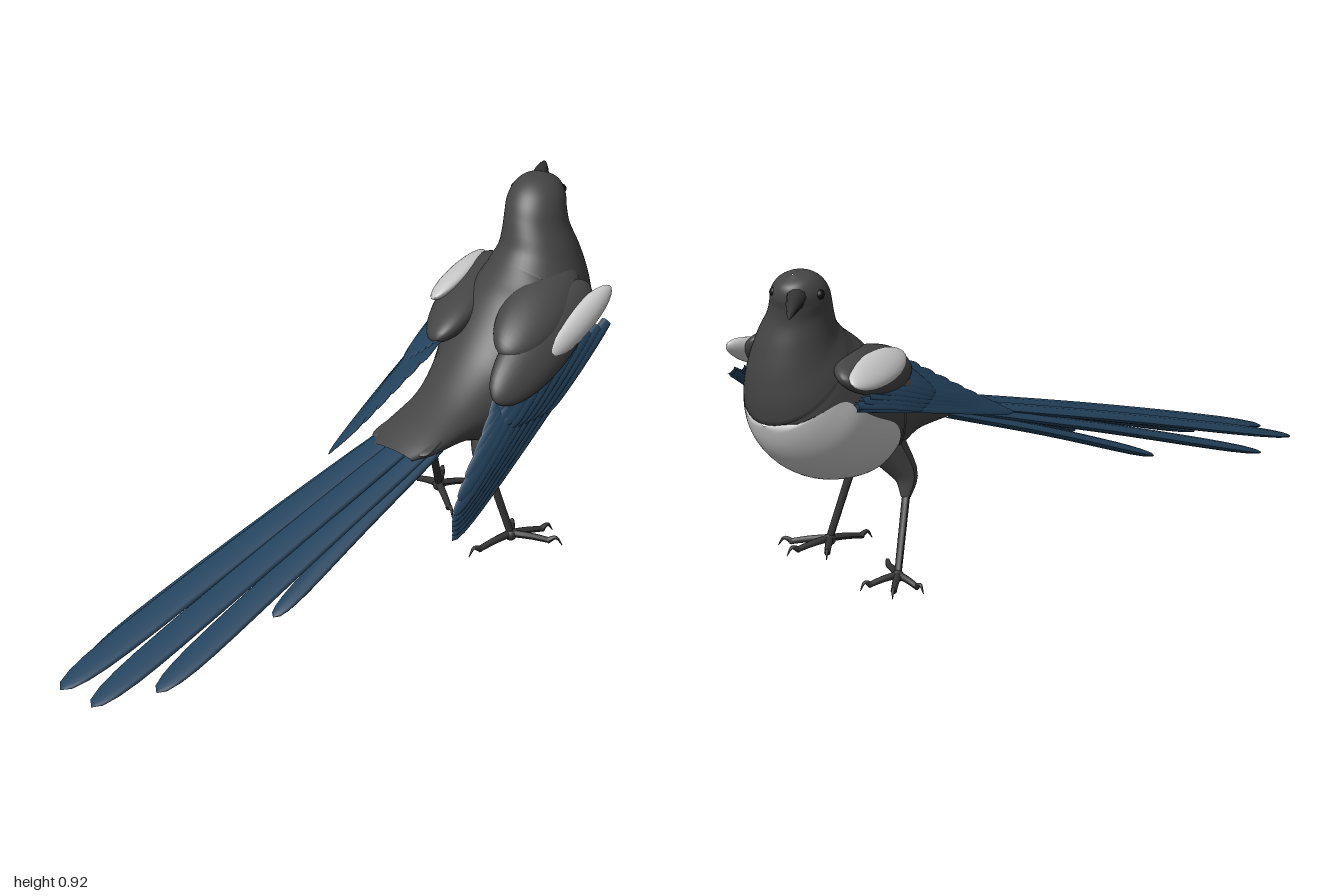
import * as THREE from 'three';

const V = (a) => new THREE.Vector3(...a);
const paint = (color) => new THREE.MeshStandardMaterial({ color });
const dark = paint(0x454545), white = paint(0xf0f2f2), blue = paint(0x24435e), horn = paint(0x343434), black = paint(0x101010);

// Surface grid; fn(u, v) returns a point, outside is du x dv
function grid(fn, nu, nv) {
  const pos = [], idx = [];
  for (let i = 0; i <= nu; i++) for (let j = 0; j <= nv; j++) {
    pos.push(...fn(i / nu, j / nv).toArray());
    if (i < nu && j < nv) {
      const a = i * (nv + 1) + j, b = a + nv + 1;
      idx.push(a, b, a + 1, b, b + 1, a + 1);
    }
  }
  const g = new THREE.BufferGeometry();
  g.setAttribute('position', new THREE.Float32BufferAttribute(pos, 3));
  g.setIndex(idx);
  g.computeVertexNormals();
  return g;
}

// Elliptical sweep along a curve; size(t) gives half width and half thickness
function sweep(points, size, up = [0, 1, 0], nu = 12, nv = 10) {
  const curve = new THREE.CatmullRomCurve3(points.map(V));
  return grid((u, v) => {
    const t = 1 - (1 - u) ** 1.6, T = curve.getTangent(t);
    const side = T.clone().cross(V(up)).normalize(), n = side.clone().cross(T);
    const [w, h] = size(t), a = v * Math.PI * 2;
    return curve.getPoint(t).addScaledVector(side, w * Math.cos(a)).addScaledVector(n, h * Math.sin(a));
  }, nu, nv);
}

const feather = (root, tip, w, up, h = 0.006) => {
  const mid = V(root).lerp(V(tip), 0.5).addScaledVector(V(up), 0.006).toArray();
  return sweep([root, mid, tip], (t) => {
    const end = Math.sqrt(Math.max(0, 1 - t ** 12));
    return [w * (0.6 + 0.4 * Math.sqrt(t)) * end, h * end];
  }, up);
};

const limb = (points, r0, r1, up) => sweep(points, (t) => {
  const r = r0 + (r1 - r0) * t;
  return [r, r];
}, up, 10, 8);

// Ellipsoid with a long axis a, a cross axis b and a thickness
function lobe(center, a, b, thick) {
  const n = V(b).cross(V(a)).normalize();
  return grid((u, v) => {
    const p = u * Math.PI, q = v * Math.PI * 2;
    return V(center).addScaledVector(V(a), -Math.cos(p))
      .addScaledVector(V(b), Math.sin(p) * Math.cos(q))
      .addScaledVector(n, thick * Math.sin(p) * Math.sin(q));
  }, 20, 28);
}

// Body sections: back z, back y, belly z, belly y, centre x, half width
const BODY = [
  [-0.14, 0.385, -0.16, 0.35, 0.05, 0.07], [-0.22, 0.42, -0.22, 0.345, 0.05, 0.1],
  [-0.35, 0.475, -0.36, 0.33, 0.05, 0.11], [-0.45, 0.54, -0.47, 0.29, 0.04, 0.135],
  [-0.53, 0.62, -0.57, 0.265, 0.03, 0.165], [-0.58, 0.67, -0.7, 0.285, 0.025, 0.18],
  [-0.62, 0.7, -0.81, 0.34, 0.02, 0.18], [-0.645, 0.72, -0.885, 0.42, 0.02, 0.168],
  [-0.665, 0.74, -0.922, 0.52, 0.015, 0.147], [-0.685, 0.765, -0.928, 0.62, 0.01, 0.122],
  [-0.7, 0.8, -0.915, 0.71, 0, 0.103], [-0.715, 0.835, -0.897, 0.78, -0.013, 0.087],
  [-0.735, 0.872, -0.897, 0.825, -0.023, 0.081], [-0.765, 0.903, -0.905, 0.86, -0.03, 0.07],
  [-0.805, 0.921, -0.897, 0.895, -0.035, 0.045], [-0.855, 0.922, -0.86, 0.92, -0.038, 0.002],
];
const N = BODY.length - 1;
const backLine = new THREE.CatmullRomCurve3(BODY.map((s) => V([0, s[1], s[0]])), false, 'catmullrom');
const bellyLine = new THREE.CatmullRomCurve3(BODY.map((s) => V([0, s[3], s[2]])), false, 'catmullrom');
const widthLine = new THREE.CatmullRomCurve3(BODY.map((s) => V([s[4], s[5], 0])), false, 'catmullrom');

function bodyPoint(t, angle) {
  const top = backLine.getPoint(t), low = bellyLine.getPoint(t), w = widthLine.getPoint(t);
  const c = top.clone().add(low).multiplyScalar(0.5);
  const p = c.clone().addScaledVector(low.sub(c), Math.cos(angle));
  p.x = w.x + w.y * Math.sin(angle);
  return p;
}
// Half angle of the white belly at body parameter t
const bellyAngle = (t) => 1.6 * Math.sqrt(Math.max(0, 1 - ((t * N - 5.45) / 2.25) ** 6));

// Wings: the left is lowered, the right is folded over the back
const WINGS = [
  { name: 'leftWing', up: [0.87, 0.4, 0.29],
    roots: [[0.222, 0.57, -0.82], [0.195, 0.55, -0.65], [0.145, 0.53, -0.5]],
    tips: [[0.222, 0.14, -0.2], [0.215, 0.21, -0.21], [0.18, 0.41, -0.4]],
    shoulders: [
      [[0.178, 0.57, -0.61], [0.012, -0.1, 0.2], [0.055, -0.06, -0.03], 0.05],
      [[0.125, 0.635, -0.65], [0.02, -0.06, 0.17], [0.085, -0.04, 0], 0.055]],
    patch: [[0.217, 0.602, -0.71], [0.006, -0.057, 0.142], [0.016, -0.034, -0.015], 0.028] },
  { name: 'rightWing', up: [-0.53, 0.78, 0.33],
    roots: [[-0.222, 0.57, -0.81], [-0.15, 0.575, -0.64], [-0.05, 0.56, -0.52]],
    tips: [[-0.1, 0.345, -0.06], [-0.075, 0.38, -0.13], [-0.025, 0.52, -0.36]],
    shoulders: [[[-0.11, 0.607, -0.62], [0.07, -0.035, 0.19], [-0.075, -0.04, 0.015], 0.05]],
    patch: [[-0.172, 0.635, -0.665], [0.045, 0, 0.145], [-0.042, -0.03, 0.01], 0.025] },
];

// Legs: hip, knee, ankle joint at the foot, then toe ends (the last is the hind toe)
const LEGS = [
  { name: 'leftLeg', path: [[0.09, 0.34, -0.5], [0.115, 0.26, -0.455], [0.13, 0.205, -0.46]], foot: [0.165, 0.03, -0.5],
    toes: [[0.28, -0.58], [0.2, -0.63], [0.1, -0.58], [0.14, -0.36]] },
  { name: 'rightLeg', path: [[-0.05, 0.34, -0.5], [-0.085, 0.26, -0.465], [-0.1, 0.205, -0.48]], foot: [-0.175, 0.03, -0.59],
    toes: [[-0.28, -0.6], [-0.25, -0.69], [-0.14, -0.7], [-0.045, -0.5]] },
];

// Tail feathers: root, tip, half width
const TAIL = [
  [[0.06, 0.398, -0.25], [-0.01, 0.016, 1], 0.054], [[0, 0.393, -0.25], [-0.135, 0.02, 0.985], 0.056],
  [[0.105, 0.385, -0.25], [0.075, 0.024, 0.83], 0.05], [[-0.02, 0.383, -0.25], [-0.185, 0.026, 0.82], 0.044],
  [[0.125, 0.37, -0.25], [0.13, 0.115, 0.42], 0.034], [[-0.025, 0.37, -0.25], [-0.175, 0.118, 0.41], 0.038],
];

export function createModel() {
  const model = new THREE.Group();
  const add = (parent, name, geometry, material) => {
    const m = new THREE.Mesh(geometry, material);
    m.name = name;
    parent.add(m);
    return m;
  };
  const group = (name) => {
    const g = new THREE.Group();
    g.name = name;
    model.add(g);
    return g;
  };

  // Body and head, split into dark hood and white belly
  add(model, 'darkPlumage', grid((u, v) => {
    const a = bellyAngle(u);
    return bodyPoint(u, a + v * (Math.PI * 2 - 2 * a));
  }, 120, 48), dark);
  const t0 = 3.2 / N, t1 = 7.7 / N;
  add(model, 'whiteBelly', grid((u, v) => {
    const t = t0 + (t1 - t0) * u;
    return bodyPoint(t, bellyAngle(t) * (2 * v - 1));
  }, 48, 32), white);

  // Beak and eyes
  const beak = group('beak');
  add(beak, 'upperBeak', sweep([[-0.055, 0.87, -0.855], [-0.108, 0.869, -0.93], [-0.157, 0.856, -0.997]],
    (t) => [0.03 * (1 - t) ** 0.7 + 0.001, 0.026 * (1 - t) ** 0.6 + 0.001]), horn);
  add(beak, 'lowerBeak', sweep([[-0.055, 0.851, -0.86], [-0.1, 0.853, -0.92], [-0.15, 0.853, -0.988]],
    (t) => [0.026 * (1 - t) ** 0.8 + 0.001, 0.02 * (1 - t) ** 0.8 + 0.001]), horn);
  for (const p of [[0.002, 0.87, -0.887], [-0.098, 0.868, -0.815]]) {
    add(model, 'eye', new THREE.SphereGeometry(0.014, 16, 12), black).position.set(...p);
  }

  // Wings
  for (const w of WINGS) {
    const g = group(w.name), up = V(w.up);
    const roots = new THREE.CatmullRomCurve3(w.roots.map(V)), tips = new THREE.CatmullRomCurve3(w.tips.map(V));
    const count = 11;
    for (let i = 0; i < count; i++) {
      const s = i / (count - 1), root = roots.getPoint(s), tip = tips.getPoint(s);
      root.addScaledVector(up, 0.012 * s);
      tip.addScaledVector(up, 0.015 * s);
      add(g, 'flightFeather', feather(root.toArray(), tip.toArray(), 0.022, w.up, 0.006), blue);
      const lift = up.clone().multiplyScalar(0.01);
      add(g, 'covertFeather', feather(root.clone().add(lift).toArray(),
        root.clone().lerp(tip, 0.42 + 0.12 * s).add(lift).toArray(), 0.022, w.up, 0.006), blue);
    }
    for (const s of w.shoulders) add(g, 'shoulder', lobe(...s), dark);
    add(g, 'whitePatch', lobe(...w.patch), white);
    // Pointed dark feathers at the rear of the shoulder
    for (let i = 0; i < 4; i++) {
      const s = 0.55 + i * 0.15, root = roots.getPoint(s).addScaledVector(up, 0.02);
      const tip = root.clone().lerp(tips.getPoint(s), 0.34);
      add(g, 'shoulderFeather', feather(root.toArray(), tip.toArray(), 0.028, w.up, 0.009), dark);
    }
  }

  // Tail and the scalloped rump over its base
  const tail = group('tail');
  for (const [root, tip, w] of TAIL) add(tail, 'tailFeather', feather(root, tip, w, [0, 0.95, 0.3], 0.013), blue);
  for (let i = 0; i < 5; i++) {
    const x = -0.03 + i * 0.04, d = 0.004 * (i - 2) ** 2;
    add(tail, 'rumpFeather', feather([x * 0.8 + 0.01, 0.43 - d, -0.34], [x, 0.393 - d, -0.17], 0.028, [0, 0.95, 0.3], 0.008), dark);
  }

  // Legs, toes and claws
  for (const l of LEGS) {
    const g = group(l.name), knee = l.path[2], [fx, fy, fz] = l.foot;
    add(g, 'thigh', limb(l.path, 0.055, 0.013, [0, 0, 1]), dark);
    add(g, 'shank', limb([knee, V(knee).lerp(V(l.foot), 0.5).toArray(), l.foot], 0.011, 0.01, [0, 0, 1]), horn);
    add(g, 'ankle', new THREE.SphereGeometry(0.017, 12, 8), horn).position.set(fx, fy - 0.004, fz);
    for (const [x, z] of l.toes) {
      const at = (s, y) => [fx + (x - fx) * s, y, fz + (z - fz) * s];
      add(g, 'toe', limb([l.foot, at(0.4, 0.024), at(0.78, 0.014)], 0.011, 0.008), horn);
      add(g, 'claw', limb([at(0.72, 0.014), at(0.88, 0.024), at(1, 0.002)], 0.009, 0.001), horn);
    }
  }
  return model;
}
